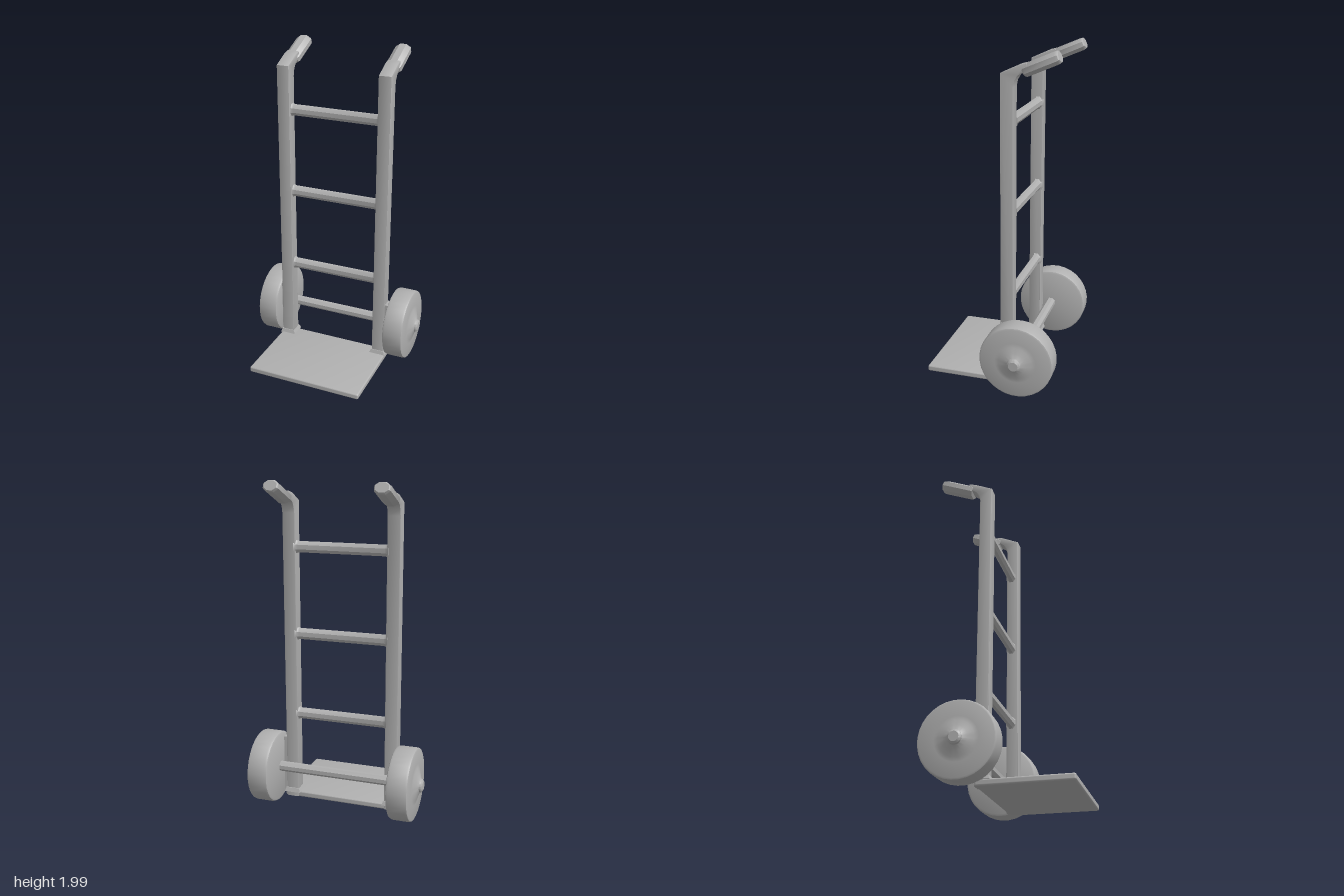
import * as THREE from 'three';
import { toCreasedNormals } from 'three/addons/utils/BufferGeometryUtils.js';
import { RoundedBoxGeometry } from 'three/addons/geometries/RoundedBoxGeometry.js';

const grey = new THREE.MeshStandardMaterial({ color: 0xb0b0b0 });
grey.name = 'plain grey';

const V = (pairs) => pairs.map(([a, b]) => new THREE.Vector2(a, b));

function add(parent, name, geometry, x = 0, y = 0, z = 0) {
  const mesh = new THREE.Mesh(toCreasedNormals(geometry, 0.55), grey);
  mesh.name = name;
  mesh.position.set(x, y, z);
  parent.add(mesh);
  return mesh;
}

// Turned part lying along x; profile is [radius, x] with x increasing
function turnedX(profile, sides) {
  return new THREE.LatheGeometry(V(profile), sides, Math.PI / sides).rotateZ(-Math.PI / 2);
}

// Upright with the bent neck, drawn in side view (backwards, up)
function postGeometry() {
  const side = new THREE.Shape(V([
    [0.057, 0.01], [0.132, 0.01], [0.132, 1.8], [0.14, 1.835], [0.157, 1.862],
    [0.182, 1.878], [0.215, 1.885], [0.205, 1.932], [0.165, 1.922], [0.057, 1.873],
  ]));
  const bevel = 0.006;
  return new THREE.ExtrudeGeometry(side, {
    depth: 0.079 - 2 * bevel, bevelThickness: bevel, bevelSize: bevel,
    bevelOffset: -bevel, bevelSegments: 2,
  }).translate(0, 0, -0.0395 + bevel).rotateY(Math.PI / 2);
}

// Eight-sided hand grip with chamfered ends, flattened and tilted back
function gripGeometry() {
  const length = 0.213, tilt = THREE.MathUtils.degToRad(67);
  const r = 0.0475 / Math.cos(Math.PI / 8);
  return new THREE.LatheGeometry(V([
    [0, 0], [r * 0.85, 0], [r, 0.012], [r, length - 0.02],
    [r * 0.93, length - 0.006], [r * 0.8, length], [0, length],
  ]), 8, Math.PI / 8).scale(1, 1, 0.75).rotateX(-tilt);
}

export function createModel() {
  const truck = new THREE.Group();
  truck.name = 'handTruck';

  // Toe plate
  add(truck, 'toePlate', new RoundedBoxGeometry(0.735, 0.037, 0.54, 2, 0.01), -0.002, 0.0265, 0.142);

  // Uprights, grips and their joints
  for (const [side, x] of [['left', 0.3145], ['right', -0.3255]]) {
    add(truck, side + 'Post', postGeometry(), x);
    add(truck, side + 'Grip', gripGeometry(), x, 1.885, -0.183);
    const foot = new THREE.CylinderGeometry(0.06, 0.073, 0.025, 4).rotateY(Math.PI / 4);
    add(truck, side + 'PostFoot', foot, x, 0.054, -0.095);
    const sign = Math.sign(x);
    add(truck, side + 'WheelMount', new THREE.BoxGeometry(0.03, 0.35, 0.065), sign * 0.358, 0.23, -0.098);
  }

  // Cross rungs, flared where they meet the uprights
  const end = 0.29, r = 0.035;
  const rung = [[0, -end], [r + 0.016, -end], [r + 0.005, -end + 0.011], [r, -end + 0.024],
    [r, end - 0.024], [r + 0.005, end - 0.011], [r + 0.016, end], [0, end]];
  for (const y of [1.6, 1.073, 0.565]) {
    add(truck, 'rung', turnedX(rung, 8).scale(1, 1, 0.76), -0.005, y, -0.101);
  }

  // Axle
  add(truck, 'axle', turnedX([[0, -0.38], [0.031, -0.38], [0.031, 0.38], [0, 0.38]], 8), 0, 0.23, -0.186);

  // Wheels with rounded shoulders, dished hub and axle cap
  const wheel = [[0, 0.37], [0.205, 0.37], [0.216, 0.375], [0.221, 0.387], [0.221, 0.485],
    [0.217, 0.496], [0.208, 0.5], [0.125, 0.5], [0.1, 0.504], [0.07, 0.516], [0.045, 0.524],
    [0.041, 0.527], [0.039, 0.537], [0.028, 0.545], [0, 0.545]];
  for (const [side, turn] of [['left', 0], ['right', Math.PI]]) {
    add(truck, side + 'Wheel', turnedX(wheel, 32), 0, 0.23, -0.19).rotation.y = turn;
  }
  return truck;
}
